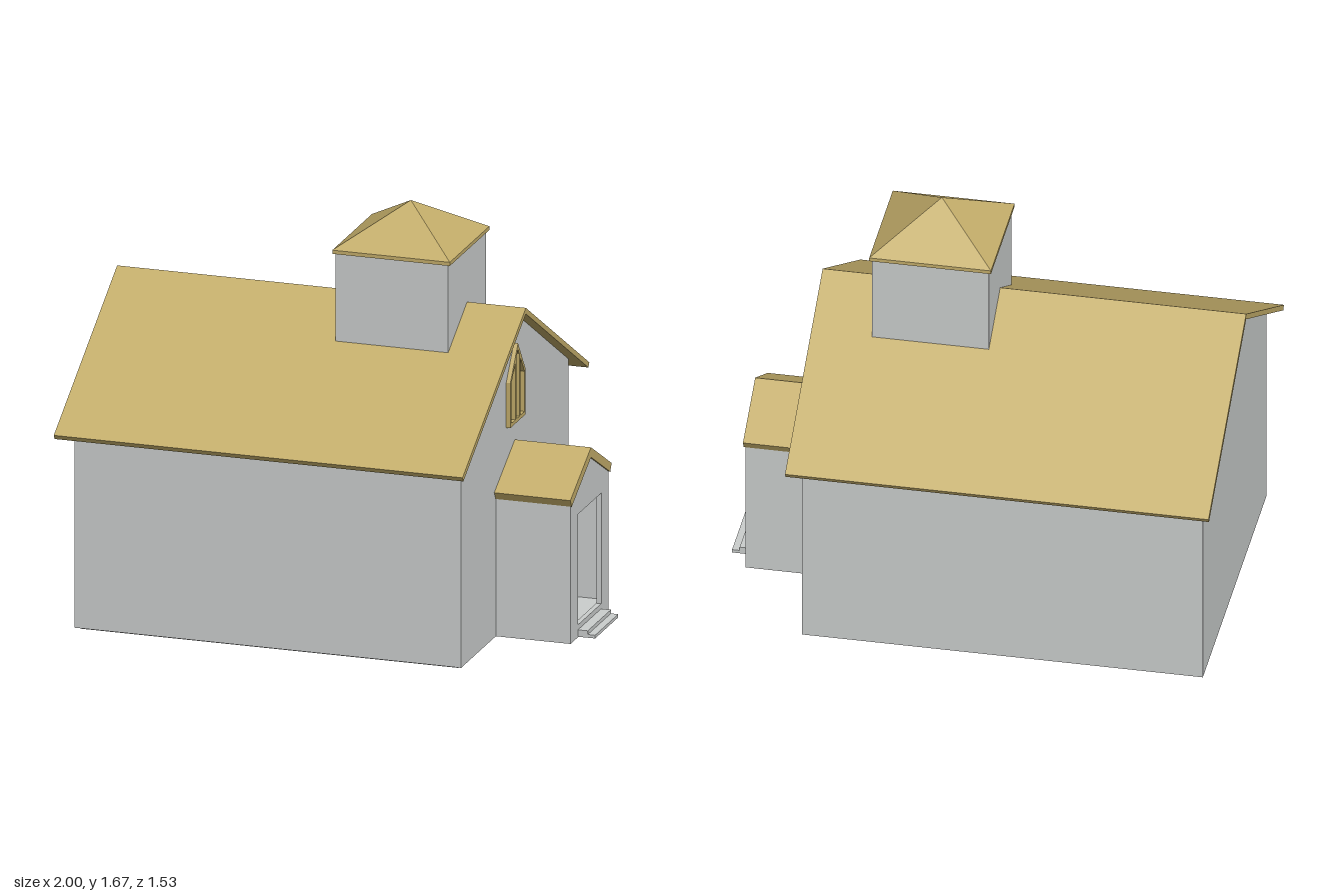
import * as THREE from 'three';

const wallMat = new THREE.MeshStandardMaterial({ color: 0xcbcecd });
wallMat.name = 'pale grey wall';
const trimMat = new THREE.MeshStandardMaterial({ color: 0xc3ad6a });
trimMat.name = 'tan roof and trim';

export function createModel() {
  const church = new THREE.Group();
  church.name = 'church';

  const add = (name, geometry, material) => {
    const mesh = new THREE.Mesh(geometry, material);
    mesh.name = name;
    church.add(mesh);
    return mesh;
  };

  // Box given by its limits on each axis
  const box = (name, material, [x0, x1], [y0, y1], [z0, z1]) => {
    const mesh = add(name, new THREE.BoxGeometry(x1 - x0, y1 - y0, z1 - z0), material);
    mesh.position.set((x0 + x1) / 2, (y0 + y1) / 2, (z0 + z1) / 2);
    return mesh;
  };

  const toPath = (points, Type = THREE.Path) => new Type(points.map(([u, y]) => new THREE.Vector2(u, y)));

  // Cross-section drawn in (-z, y) and extruded along x
  const section = (name, material, points, x0, x1, holes = []) => {
    const shape = toPath(points, THREE.Shape);
    shape.holes = holes.map((h) => toPath(h));
    const geometry = new THREE.ExtrudeGeometry(shape, { depth: x1 - x0, bevelEnabled: false });
    geometry.rotateY(Math.PI / 2).translate(x0, 0, 0);
    return add(name, geometry, material);
  };

  // Five-sided gable outline
  const gable = (w, base, eave, apex) => [[-w, base], [w, base], [w, eave], [0, apex], [-w, eave]];

  // Bent roof slab with eaves cut square to the slope
  const chevron = (w, ridge, slope, t) => {
    const L = Math.hypot(slope, 1);
    const eave = ridge - slope * w;
    const iw = w - (t * slope) / L;
    const iy = eave - t / L;
    return [[-w, eave], [-iw, iy], [0, ridge - t * L], [iw, iy], [w, eave], [0, ridge]];
  };

  // Nave
  section('naveWalls', wallMat, gable(0.65, 0.01, 0.868, 1.255), -0.955, 0.625);
  section('naveRoof', trimMat, chevron(0.767, 1.28, 0.595, 0.021), -1, 0.67);
  box('naveFloor', wallMat, [-0.935, 0.605], [0, 0.012], [-0.625, 0.625]);

  // Bell tower
  box('towerWalls', wallMat, [-0.03, 0.43], [1.1, 1.505], [-0.23, 0.23]);
  box('towerEaves', trimMat, [-0.04, 0.44], [1.5, 1.515], [-0.24, 0.24]);
  const pyramid = new THREE.ConeGeometry(0.24 * Math.SQRT2, 0.155, 4).rotateY(Math.PI / 4).toNonIndexed();
  pyramid.computeVertexNormals();
  add('towerRoof', pyramid, trimMat).position.set(0.2, 1.5925, 0);

  // Porch: open doorway in the end wall, hollow inside
  const door = [[-0.142, 0.06], [-0.142, 0.51], [0.142, 0.51], [0.142, 0.06]];
  section('porchFrontWall', wallMat, gable(0.23, 0.01, 0.571, 0.7), 0.91, 0.93, [door]);
  for (const side of [-1, 1]) {
    const z = [0.21 * side, 0.23 * side].sort((a, b) => a - b);
    box(side > 0 ? 'porchLeftWall' : 'porchRightWall', wallMat, [0.625, 0.91], [0.01, 0.571], z);
  }
  box('porchFloor', wallMat, [0.625, 0.91], [0.01, 0.055], [-0.21, 0.21]);
  box('porchBase', wallMat, [0.605, 0.91], [0.003, 0.012], [-0.2, 0.2]);
  box('porchCeiling', wallMat, [0.625, 0.91], [0.562, 0.57], [-0.21, 0.21]);
  section('porchRoof', trimMat, chevron(0.25, 0.74, 0.56, 0.035), 0.625, 0.936);

  // Diamond panel on the wall inside the porch
  section('diamondPanel', trimMat, [[-0.138, 0.42], [0, 0.282], [0.138, 0.42], [0, 0.558]], 0.624, 0.632);

  // Entrance steps
  box('upperStep', wallMat, [0.93, 0.97], [0.015, 0.04], [-0.14, 0.14]);
  box('lowerStep', wallMat, [0.93, 1], [0.012, 0.025], [-0.14, 0.14]);

  // Pointed gable window with three lights
  const lights = [
    [[-0.08, 0.835], [-0.08, 0.998], [-0.032, 1.066], [-0.032, 0.835]],
    [[-0.017, 0.835], [-0.017, 1.088], [0, 1.113], [0.017, 1.088], [0.017, 0.835]],
    [[0.08, 0.835], [0.032, 0.835], [0.032, 1.066], [0.08, 0.998]],
  ];
  section('gableWindowFrame', trimMat, gable(0.093, 0.82, 1.003, 1.137), 0.62, 0.642, lights)
    .position.z = 0.012;

  return church;
}
